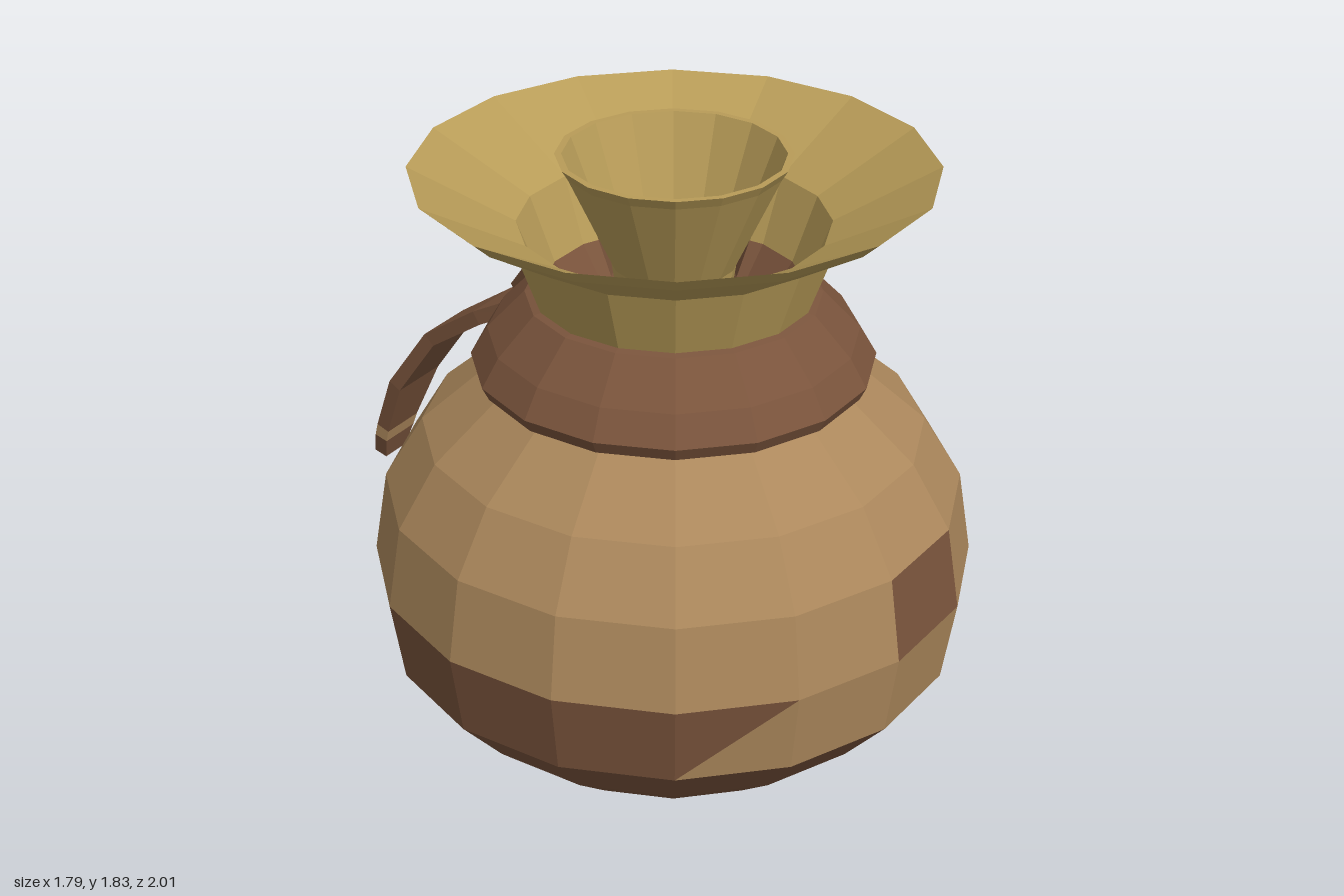
import * as THREE from 'three';

const mat = (name, color) => {
  const m = new THREE.MeshStandardMaterial({ color });
  m.name = name;
  return m;
};

const SIDES = 16;
const CENTER_Z = 0.1;

// Joins closed rings of points into flat-faced skin; pick(ring, side, half) gives the material index
function skin(name, rings, materials, pick = () => 0) {
  const buckets = materials.map(() => []);
  const tri = new THREE.Triangle();
  for (let i = 0; i < rings.length - 1; i++) {
    const n = rings[i].length;
    for (let j = 0; j < n; j++) {
      const k = (j + 1) % n;
      const a = rings[i][j], b = rings[i][k], c = rings[i + 1][k], d = rings[i + 1][j];
      [[a, b, c], [a, c, d]].forEach((t, half) => {
        if (tri.set(...t).getArea() < 1e-7) return;
        for (const p of t) buckets[pick(i, j, half)].push(p.x, p.y, p.z);
      });
    }
  }
  const geo = new THREE.BufferGeometry();
  geo.setAttribute('position', new THREE.Float32BufferAttribute(buckets.flat(), 3));
  let start = 0;
  buckets.forEach((b, m) => {
    if (b.length) geo.addGroup(start, b.length / 3, m);
    start += b.length / 3;
  });
  geo.computeVertexNormals();
  const mesh = new THREE.Mesh(geo, materials);
  mesh.name = name;
  return mesh;
}

// Rings of a turned shape from [radius, height] pairs, outside going up
const turned = (profile) => profile.map(([r, y]) =>
  Array.from({ length: SIDES }, (_, j) => {
    const a = (j / SIDES) * Math.PI * 2;
    return new THREE.Vector3(r * Math.sin(a), y, CENTER_Z + r * Math.cos(a));
  }));

// Rings of a flat strap along a path of [x, y, z, width]
function strap(path, thickness) {
  const pts = path.map((p) => new THREE.Vector3(p[0], p[1], p[2]));
  const h = pts[pts.length - 1].clone().sub(pts[0]).setY(0).normalize();
  const w = new THREE.Vector3(h.z, 0, -h.x);
  const rings = pts.map((p, i) => {
    const t = pts[Math.min(i + 1, pts.length - 1)].clone().sub(pts[Math.max(i - 1, 0)]).normalize();
    const n = t.cross(w).normalize();
    return [[1, 1], [-1, 1], [-1, -1], [1, -1]].map(([s, u]) =>
      p.clone().addScaledVector(w, s * path[i][3] / 2).addScaledVector(n, u * thickness / 2));
  });
  const cap = (p) => [p, p, p, p];
  return [cap(pts[0]), ...rings, cap(pts[pts.length - 1])];
}

export function createModel() {
  const tan = mat('tan cloth', 0xac885c);
  const brown = mat('brown leather', 0x7a543c);
  const olive = mat('olive cloth', 0xb89c58);
  const model = new THREE.Group();
  model.name = 'sack';

  // Round body: brown base and back, one square patch, one bare facet
  const body = [[0, 0], [0.53, 0], [0.71, 0.14], [0.855, 0.3], [0.895, 0.55],
    [0.855, 0.8], [0.74, 0.99], [0.54, 1.165], [0.46, 1.25]];
  model.add(skin('body', turned(body), [tan, brown], (i, j, half) => {
    if (i < 2) return 1;
    if (i === 2) return j === 1 ? 0 : 1;
    if (i === 3) return (j >= 6 && j <= 13) || (j === 14 && half === 1) ? 1 : 0;
    return i === 4 && j === 0 ? 1 : 0;
  }));

  // Tie around the neck
  model.add(skin('collar', turned([[0.5, 1.155], [0.57, 1.165], [0.59, 1.205], [0.54, 1.29],
    [0.43, 1.405], [0.39, 1.415]]), [brown]));

  // Flared mouth, outside then inside
  model.add(skin('mouth', turned([[0.405, 1.4], [0.48, 1.605], [0.7, 1.74], [0.755, 1.79],
    [0.45, 1.625], [0.375, 1.43]]), [olive]));
  model.add(skin('mouthFloor', turned([[0.375, 1.43], [0.3, 1.33], [0.14, 1.3]]), [brown]));

  // Small inner funnel with a dark throat
  model.add(skin('innerFunnel', turned([[0.15, 1.3], [0.18, 1.5], [0.32, 1.8], [0.338, 1.83],
    [0.318, 1.83], [0.22, 1.58]]), [olive]));
  model.add(skin('throat', turned([[0.22, 1.58], [0.18, 1.45], [0.09, 1.32]]), [brown]));
  model.add(skin('throatFloor', turned([[0.09, 1.32], [0, 1.32]]), [tan]));

  // Knot lying on the back of the collar
  const knot = new THREE.Group();
  knot.name = 'knot';
  knot.position.set(0, 1.3, CENTER_Z);
  knot.rotation.y = Math.PI * 0.945;
  const pad = new THREE.Mesh(new THREE.BoxGeometry(0.34, 0.22, 0.06), brown);
  pad.name = 'knotPad';
  pad.position.z = 0.515;
  pad.rotation.x = -0.72;
  knot.add(pad);
  model.add(knot);

  // Two hanging strap ends with tan near the tips
  const rightTail = [[-0.08, 1.24, -0.42, 0.19], [-0.11, 1.17, -0.55, 0.2], [-0.14, 1.04, -0.74, 0.2],
    [-0.17, 0.84, -0.88, 0.2], [-0.19, 0.66, -0.95, 0.15], [-0.195, 0.62, -0.96, 0.14],
    [-0.2, 0.55, -0.98, 0.1]];
  const leftTail = [[0.25, 1.24, -0.34, 0.19], [0.34, 1.14, -0.47, 0.2], [0.45, 0.99, -0.62, 0.2],
    [0.54, 0.78, -0.74, 0.2], [0.59, 0.56, -0.81, 0.15], [0.61, 0.42, -0.84, 0.1]];
  model.add(skin('rightTail', strap(rightTail, 0.045), [brown, tan], (i) => (i === 5 ? 1 : 0)));
  model.add(skin('leftTail', strap(leftTail, 0.045), [brown, tan], (i) => (i >= 5 ? 1 : 0)));

  return model;
}
